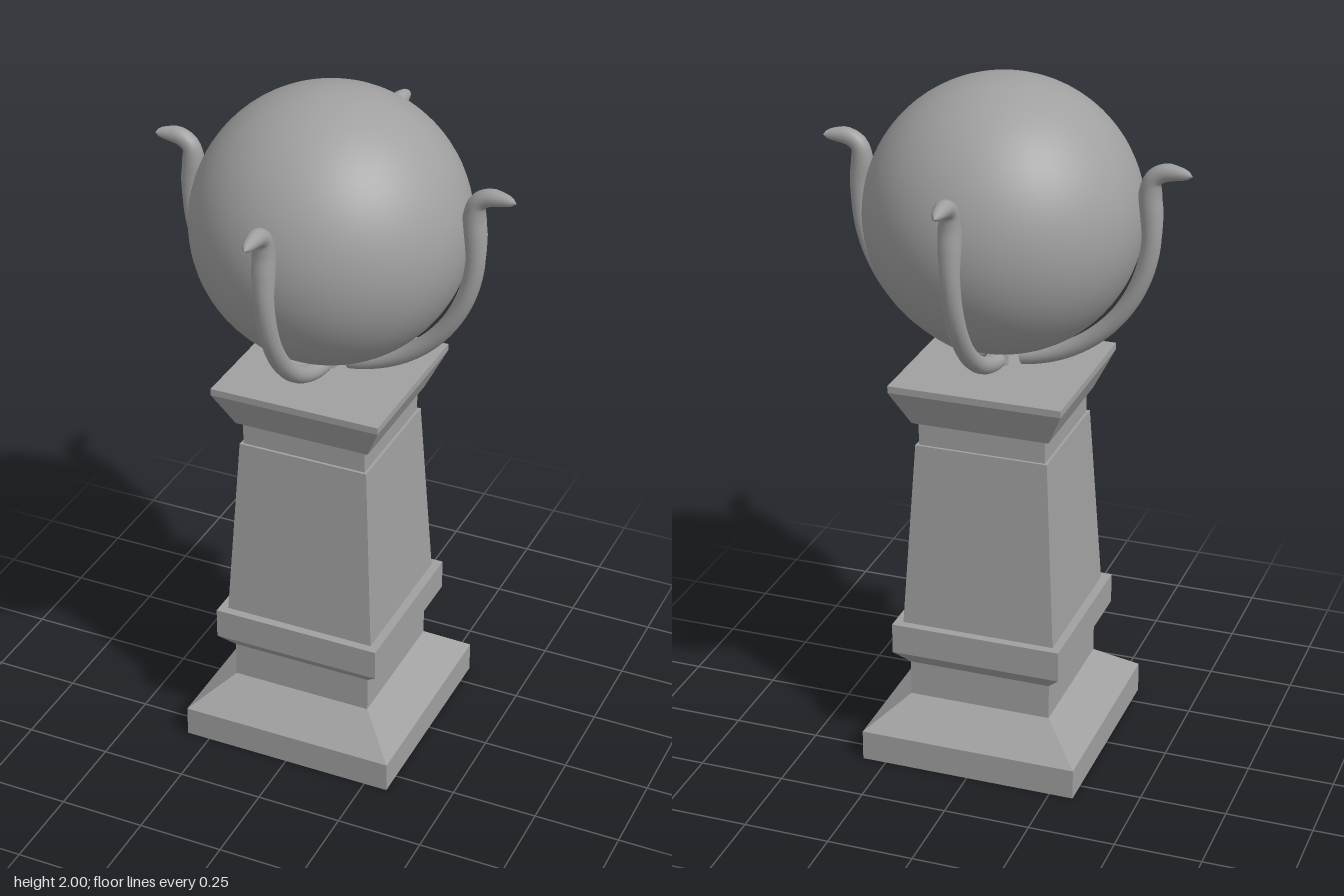
import * as THREE from 'three';

const stone = new THREE.MeshStandardMaterial({ color: 0xa0a0a0, side: THREE.DoubleSide });
stone.name = 'grey stone';

function part(name, geometry, parent) {
  const mesh = new THREE.Mesh(geometry, stone);
  mesh.name = name;
  parent.add(mesh);
  return mesh;
}

// Square pedestal shell, open underneath: [half width, height]
function pedestalGeometry() {
  const profile = [
    [0.32, 0], [0.32, 0.09], [0.21, 0.18], [0.21, 0.285], [0.25, 0.33], [0.25, 0.42],
    [0.225, 0.42], [0.193, 0.97], [0.185, 0.97], [0.185, 1.04], [0.2, 1.04],
    [0.25, 1.145], [0.25, 1.165], [0, 1.165],
  ].map(([w, y]) => new THREE.Vector2(w * Math.SQRT2, y));
  const geometry = new THREE.LatheGeometry(profile, 4, Math.PI / 4).toNonIndexed();
  geometry.computeVertexNormals();
  return geometry;
}

// Curved arm: a round tube whose rings are scaled along its length
function armGeometry() {
  const points = [];
  for (let i = 0; i <= 10; i++) {
    const a = THREE.MathUtils.lerp(0.1, 1.5, i / 10);
    points.push(new THREE.Vector3(0.42 * Math.sin(a), 1.615 - 0.42 * Math.cos(a), 0));
  }
  for (const [x, y] of [[0.418, 1.66], [0.413, 1.72], [0.42, 1.76], [0.45, 1.781], [0.49, 1.783], [0.528, 1.778]]) {
    points.push(new THREE.Vector3(x, y, 0));
  }
  const curve = new THREE.CatmullRomCurve3(points);
  const steps = 72, sides = 14;
  const geometry = new THREE.TubeGeometry(curve, steps, 1, sides);
  // [fraction of length, radius]
  const radii = [[0, 0], [0.004, 0.024], [0.68, 0.027], [0.76, 0.032], [0.82, 0.032],
    [0.86, 0.026], [0.93, 0.024], [0.97, 0.017], [0.99, 0.01], [1, 0]];
  const radiusAt = (t) => {
    const k = Math.max(1, radii.findIndex(([u]) => u >= t));
    const [t0, r0] = radii[k - 1], [t1, r1] = radii[k];
    return THREE.MathUtils.lerp(r0, r1, (t - t0) / (t1 - t0));
  };
  const position = geometry.attributes.position;
  const normal = geometry.attributes.normal;
  const v = new THREE.Vector3(), n = new THREE.Vector3();
  for (let i = 0; i < position.count; i++) {
    const t = Math.floor(i / (sides + 1)) / steps;
    n.fromBufferAttribute(normal, i);
    v.copy(curve.getPointAt(t)).addScaledVector(n, radiusAt(t));
    position.setXYZ(i, v.x, v.y, v.z);
  }
  return geometry;
}

export function createModel() {
  const model = new THREE.Group();
  model.name = 'globeOnPedestal';

  part('pedestal', pedestalGeometry(), model);
  part('globe', new THREE.SphereGeometry(0.386, 64, 40), model).position.y = 1.614;
  part('supportPost', new THREE.CylinderGeometry(0.014, 0.014, 0.08, 12), model).position.y = 1.2;

  // Four arms cradling the globe
  const arms = new THREE.Group();
  arms.name = 'arms';
  model.add(arms);
  const arm = armGeometry();
  ['left', 'back', 'right', 'front'].forEach((side, i) => {
    part(side + 'Arm', arm, arms).rotation.y = i * Math.PI / 2;
  });
  return model;
}
